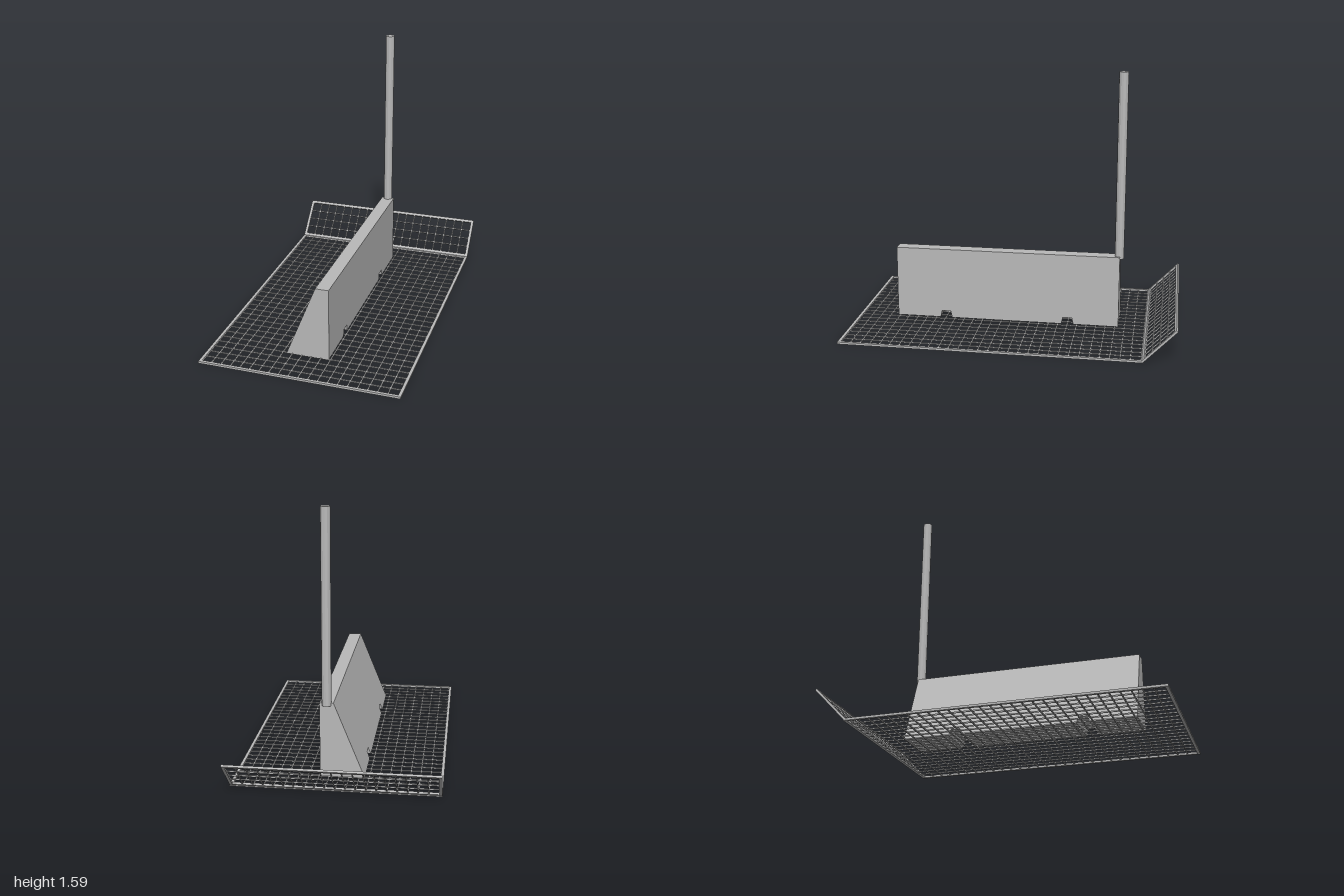
import * as THREE from 'three';

const grey = new THREE.MeshStandardMaterial({ color: 0xbababa });
grey.name = 'grey';

function addMesh(parent, name, geometry, x = 0, y = 0, z = 0) {
  const mesh = new THREE.Mesh(geometry, grey);
  mesh.name = name;
  mesh.position.set(x, y, z);
  parent.add(mesh);
  return mesh;
}

// Framed wire grid lying flat, reaching from z = 0 to z = -length
function wirePanel(name, width, length, columns, rows) {
  const panel = new THREE.Group();
  panel.name = name;
  const bar = 0.018, thick = 0.013, wire = 0.007;
  const innerW = width - 2 * bar, innerL = length - 2 * bar;

  for (const side of [-1, 1]) {
    addMesh(panel, 'frameSide', new THREE.BoxGeometry(bar, thick, length),
      side * (width - bar) / 2, 0, -length / 2);
    addMesh(panel, 'frameEnd', new THREE.BoxGeometry(innerW, thick, bar),
      0, 0, -length / 2 + side * (length - bar) / 2);
  }
  const longWire = new THREE.BoxGeometry(wire, wire, innerL);
  for (let i = 1; i < columns; i++) {
    addMesh(panel, 'longWire', longWire, -innerW / 2 + innerW * i / columns, 0, -length / 2);
  }
  const crossWire = new THREE.BoxGeometry(innerW, wire, wire);
  for (let i = 1; i < rows; i++) {
    addMesh(panel, 'crossWire', crossWire, 0, 0, -bar - innerL * i / rows);
  }
  return panel;
}

// Long wedge with one sloping side and two notches through its foot
function barrierGeometry() {
  const bottom = 0.013, top = 0.46, notchTop = 0.055;
  const shape = new THREE.Shape();
  shape.moveTo(-0.635, bottom);
  for (const z of [-0.32, 0.445]) {
    shape.lineTo(z - 0.037, bottom);
    shape.lineTo(z - 0.028, notchTop);
    shape.lineTo(z + 0.028, notchTop);
    shape.lineTo(z + 0.037, bottom);
  }
  shape.lineTo(0.755, bottom);
  shape.lineTo(0.755, top);
  shape.lineTo(-0.635, top);
  shape.closePath();

  const geometry = new THREE.ExtrudeGeometry(shape, { depth: 1, bevelEnabled: false });
  geometry.rotateY(-Math.PI / 2);
  // Lean the right side inward with height
  const p = geometry.attributes.position;
  for (let i = 0; i < p.count; i++) {
    const t = (p.getY(i) - bottom) / (top - bottom);
    p.setX(i, p.getX(i) < -0.5 ? -0.15 + 0.18 * t : 0.11);
  }
  geometry.computeVertexNormals();
  return geometry;
}

export function createModel() {
  const model = new THREE.Group();
  model.name = 'barrierOnWireTray';

  // Floor grid and raised rear flap
  const floor = wirePanel('floorGrid', 1.206, 1.81, 20, 30);
  floor.position.set(0, 0.0065, 1);
  model.add(floor);

  const flap = wirePanel('rearFlap', 1.206, 0.272, 20, 4);
  flap.position.set(0, 0.009, -0.803);
  flap.rotation.x = Math.PI / 4 + 0.015;
  model.add(flap);

  addMesh(model, 'barrier', barrierGeometry());

  // Upright pole at the rear end of the barrier
  const pole = new THREE.CylinderGeometry(0.028, 0.028, 1.14, 12).toNonIndexed();
  pole.computeVertexNormals();
  addMesh(model, 'pole', pole, 0.07, 1.015, -0.63);

  return model;
}
